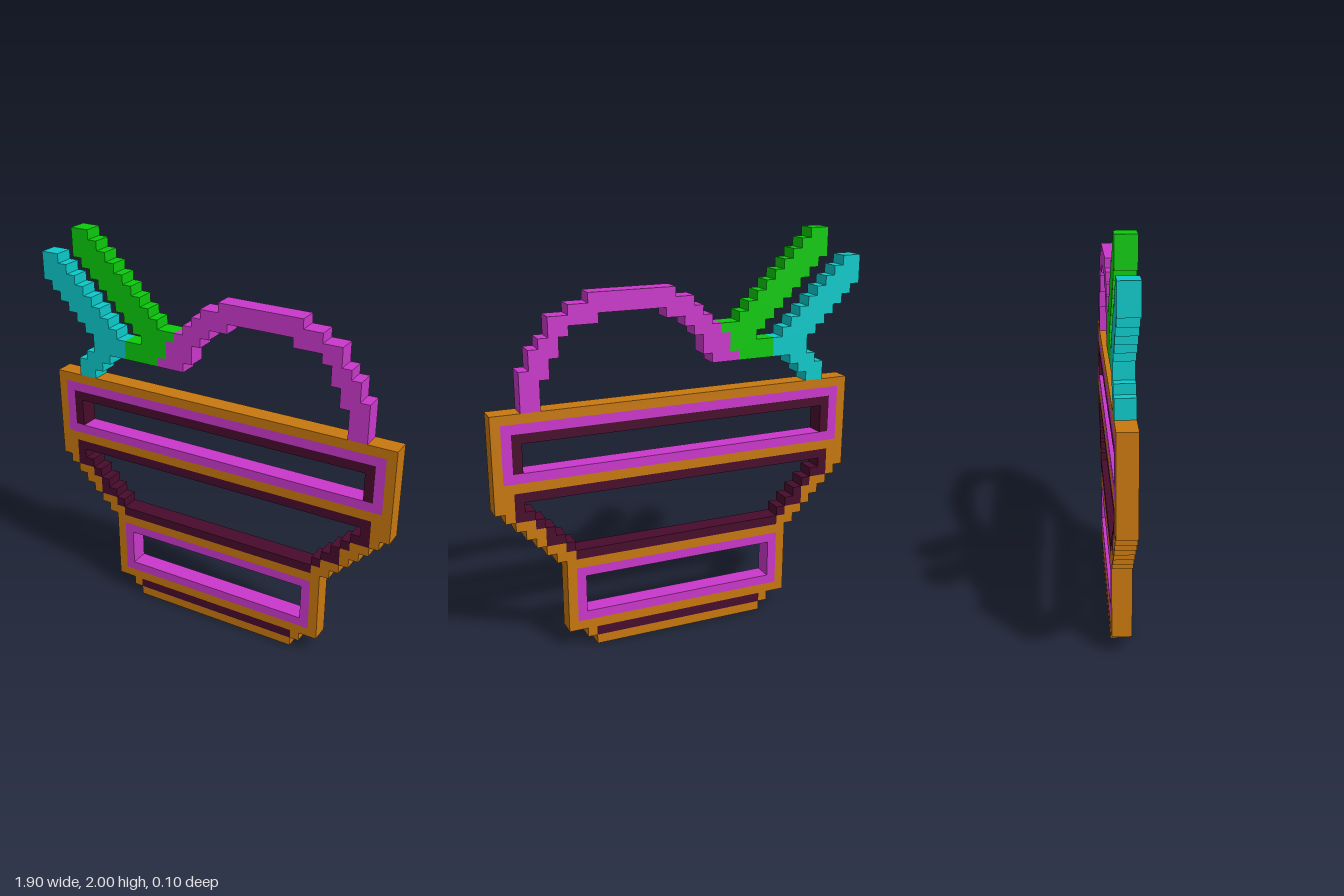
import * as THREE from 'three';
import { mergeGeometries } from 'three/addons/utils/BufferGeometryUtils.js';

const U = 2 / 42; // one grid cell

const material = (name, color) => {
  const m = new THREE.MeshStandardMaterial({ color });
  m.name = name;
  return m;
};

// Stepped outline from stacked rows [bottom, top, left, right], in cells
function outline(rows, Type = THREE.Shape) {
  const left = [], right = [];
  for (const [y0, y1, x0, x1] of rows) {
    left.push([x0, y0], [x0, y1]);
    right.push([x1, y0], [x1, y1]);
  }
  const points = [...right, ...left.reverse()]
    .map(([x, y]) => new THREE.Vector2((x - 20) * U, y * U))
    .filter((p, i, all) => i === 0 || !p.equals(all[i - 1]));
  return new Type(points);
}

// Symmetric rows [bottom, top, left] about the basket's middle
const symmetric = rows => rows.map(([y0, y1, x]) => [y0, y1, x, 41 - x]);

// Single-cell rows climbing from y: each entry is [left, right]
const climb = (y, spans) => spans.map(([a, b], i) => [y + i, y + i + 1, a, b]);

// Two-cell-deep slab with optional holes
function slab(rows, holes = []) {
  const shape = outline(rows);
  shape.holes = holes.map(h => outline(h, THREE.Path));
  return new THREE.ExtrudeGeometry(shape, { depth: 2 * U, bevelEnabled: false }).translate(0, 0, -U);
}

// Separate blocks [bottom, top, left, right]
const blocks = list => mergeGeometries(list.map(([y0, y1, x0, x1]) =>
  new THREE.BoxGeometry((x1 - x0) * U, (y1 - y0) * U, 2 * U)
    .translate(((x0 + x1) / 2 - 20) * U, (y0 + y1) / 2 * U, 0)));

export function createModel() {
  const model = new THREE.Group();
  model.name = 'basket';

  const orange = material('orange', 0xc8780f);
  const magenta = material('magenta', 0xca38cb);
  const maroon = material('maroon', 0x480c2c);
  const green = material('green', 0x0ccb0c);
  const teal = material('teal', 0x0dcacb);

  const add = (name, geometry, mat) => {
    const mesh = new THREE.Mesh(geometry, mat);
    mesh.name = name;
    model.add(mesh);
  };

  // Openings in the orange body
  const rimPanel = symmetric([[19, 25, 2]]);
  const bowlPanel = symmetric([[10, 11, 9], [11, 12, 8], [12, 14, 6], [14, 15, 5], [15, 18, 3]]);
  const lowerPanel = symmetric([[3, 9, 9]]);
  const footPanel = symmetric([[1, 2, 11]]);

  // Orange body: foot, lower block, tapering bowl and rim
  const body = symmetric([
    [0, 1, 11], [1, 2, 10], [2, 10, 8], [10, 11, 7], [11, 12, 6],
    [12, 13, 5], [13, 14, 4], [14, 15, 3], [15, 16, 2], [16, 26, 1],
  ]);
  add('basketBody', slab(body, [rimPanel, bowlPanel, lowerPanel, footPanel]), orange);

  // Rim window: magenta frame, maroon lining on top and sides
  const rimLining = symmetric([[20, 24, 3]]);
  add('rimFrame', slab(rimPanel, [rimLining]), magenta);
  add('rimLining', blocks([[23, 24, 3, 38], [20, 23, 3, 4], [20, 23, 37, 38]]), maroon);

  // Bowl window lining: top and bottom bars with stepped sides
  const bowlSide = [
    [11, 12, 8, 9], [12, 13, 6, 8], [13, 14, 6, 7],
    [14, 15, 5, 6], [15, 16, 3, 5], [16, 17, 3, 4],
  ];
  const mirrored = bowlSide.map(([y0, y1, a, b]) => [y0, y1, 41 - b, 41 - a]);
  add('bowlLining', blocks([[10, 11, 9, 32], [17, 18, 3, 38], ...bowlSide, ...mirrored]), maroon);

  // Lower window frame and foot stripe
  add('lowerFrame', slab(lowerPanel, [symmetric([[4, 8, 10]])]), magenta);
  add('footStripe', slab(footPanel), maroon);

  // Arched handle
  add('handleTop', slab([[35, 36, 19, 32], [36, 37, 21, 30]]), magenta);
  add('handleRightSide', slab(climb(29,
    [[14, 17], [15, 18], [15, 18], [16, 19], [17, 20], [18, 22]])), magenta);
  add('handleLeftSide', slab([[26, 29, 35, 37], ...climb(29,
    [[34, 37], [34, 36], [33, 36], [33, 35], [32, 34], [29, 34]])]), magenta);

  // Green ribbon: joining block and diagonal tail
  add('greenRibbon', slab(climb(29, [
    [10, 14], [10, 15], [12, 15], [9 + 2, 16], [10, 14], [9, 13], [8, 12],
    [7, 11], [6, 10], [5, 9], [4, 8], [4, 7], [4, 6],
  ])), green);

  // Teal ribbon: short foot on the rim and diagonal tail
  add('tealRibbon', slab(climb(26, [
    [4, 6], [4, 7], [5, 8], [6, 10], [6, 10], [5, 9], [4, 8],
    [3, 7], [2, 6], [1, 5], [0, 4], [0, 3], [0, 2],
  ])), teal);

  return model;
}
